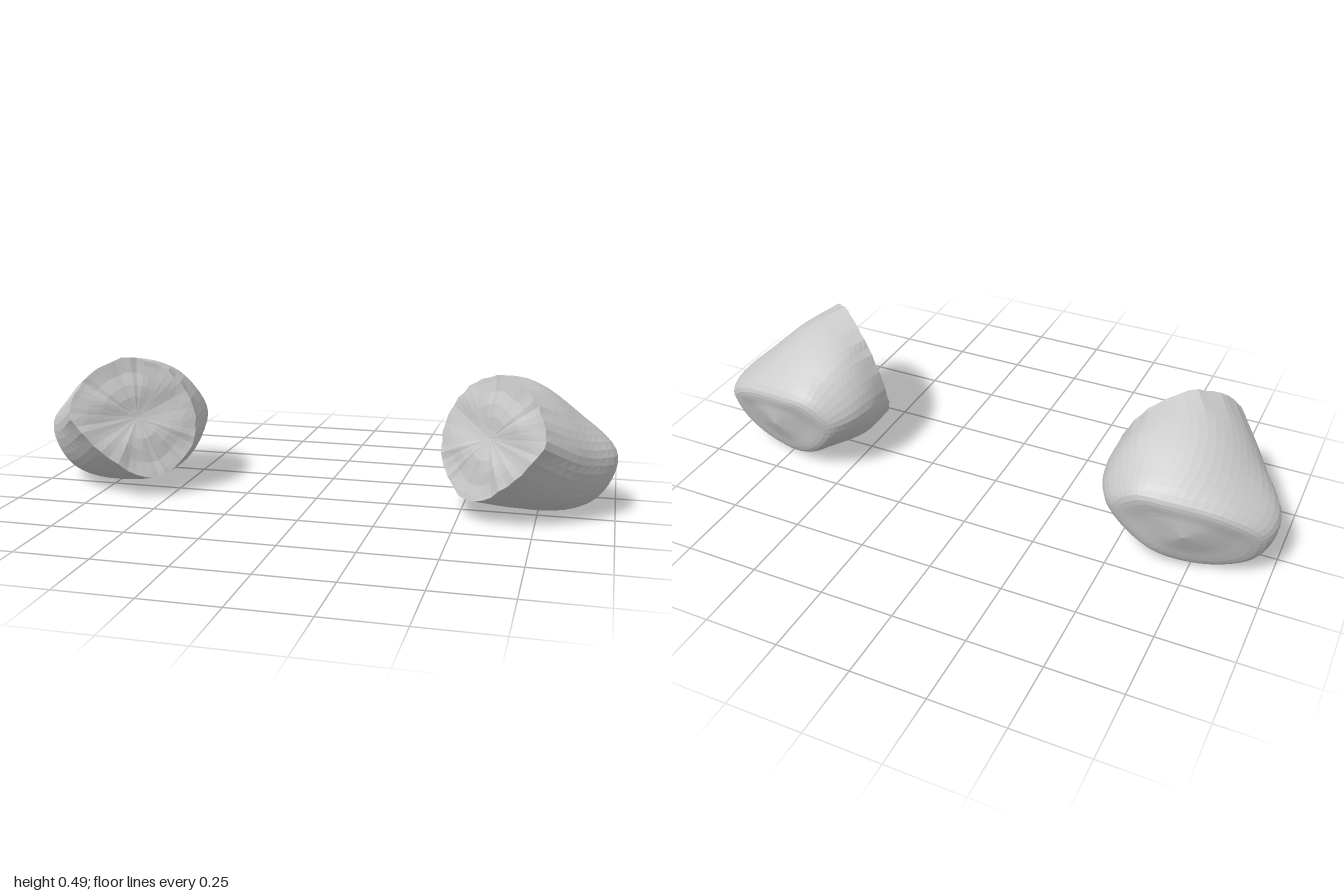
import * as THREE from 'three';

const AROUND = 48;

// Cross-sections from the cut rim to the blunt end; each runs top, outer, bottom, inner
const SECTIONS = [
  [[.63, .487, .106], [.74, .43, .208], [.78, .32, .269], [.69, .18, .234],
    [.54, .075, .142], [.46, .13, .065], [.43, .24, .012], [.50, .41, .023]],
  [[.70, .455, -.02], [.83, .38, .07], [.90, .24, .12], [.83, .09, .10],
    [.65, .025, 0], [.49, .10, -.05], [.43, .25, -.09], [.53, .41, -.09]],
  [[.72, .40, -.15], [.88, .325, -.09], [.995, .21, -.04], [.93, .06, -.03],
    [.76, .002, -.08], [.58, .07, -.14], [.46, .24, -.19], [.56, .37, -.19]],
  [[.70, .32, -.262], [.87, .28, -.215], [.975, .19, -.15], [.94, .075, -.12],
    [.80, .02, -.14], [.63, .07, -.20], [.51, .23, -.245], [.58, .315, -.268]],
];
const END = new THREE.Vector3(.74, .18, -.238);

// Seeded noise in -1..1 for the rough rim
function makeNoise(seed) {
  let s = seed;
  return () => {
    s = (s * 16807) % 2147483647;
    return (s / 2147483647) * 2 - 1;
  };
}

// Smooth closed loop through the points of one section
function ring(points) {
  const curve = new THREE.CatmullRomCurve3(points.map(p => new THREE.Vector3(...p)), true);
  return Array.from({ length: AROUND }, (_, j) => curve.getPoint(j / AROUND));
}

// Skin a stack of rings; side mirrors in x, flip reverses the facing
function skin(rings, side, flip) {
  const pos = [], index = [];
  for (const r of rings) for (const p of r) pos.push(p.x * side, p.y, p.z);
  const reverse = (side < 0) !== flip;
  const tri = (a, b, c) => (reverse ? index.push(a, c, b) : index.push(a, b, c));
  for (let i = 0; i < rings.length - 1; i++) {
    for (let j = 0; j < AROUND; j++) {
      const a = i * AROUND + j, b = i * AROUND + (j + 1) % AROUND;
      tri(a, b, a + AROUND);
      if (i < rings.length - 2) tri(b, b + AROUND, a + AROUND);
    }
  }
  const g = new THREE.BufferGeometry();
  g.setAttribute('position', new THREE.Float32BufferAttribute(pos, 3));
  g.setIndex(index);
  g.computeVertexNormals();
  return g;
}

export function createModel() {
  const model = new THREE.Group();
  const stone = new THREE.MeshStandardMaterial({ color: 0xcccccc, flatShading: true });
  stone.name = 'lightGrey';

  // Key rings, closing towards the middle of the blunt end
  const keys = SECTIONS.map(ring);
  const last = keys[keys.length - 1];
  keys.push(last.map(p => p.clone().lerp(END, .5)), last.map(() => END.clone()));

  // Rough the rim slightly
  const noise = makeNoise(71);
  for (const p of keys[0]) p.add(new THREE.Vector3(noise(), noise(), noise()).multiplyScalar(.004));

  // Smooth body between the key rings
  const steps = 25;
  const tracks = keys[0].map((_, j) => new THREE.CatmullRomCurve3(keys.map(k => k[j])));
  const body = Array.from({ length: steps + 1 }, (_, i) => tracks.map(t => t.getPoint(i / steps)));

  // Nearly flat cut face with shallow waves
  const centre = keys[0].reduce((s, p) => s.add(p), new THREE.Vector3()).divideScalar(AROUND);
  const normal = new THREE.Vector3(-.61, .2, .77).normalize();
  const cut = [0, .08, .25, .45, .65, .85, 1].map(t => keys[0].map(p => {
    const q = p.clone().lerp(centre, t);
    const wave = t === 0 ? 0 : .005 * Math.sin(q.y * 35 + q.x * 12) * Math.min(1, t * 3);
    return q.addScaledVector(normal, wave);
  }));

  // Mirrored pair
  for (const side of [1, -1]) {
    const lump = new THREE.Group();
    lump.name = side > 0 ? 'leftLump' : 'rightLump';
    const bodyMesh = new THREE.Mesh(skin(body, side, false), stone);
    bodyMesh.name = 'roundedBody';
    const cutMesh = new THREE.Mesh(skin(cut, side, true), stone);
    cutMesh.name = 'cutFace';
    lump.add(bodyMesh, cutMesh);
    model.add(lump);
  }
  return model;
}
